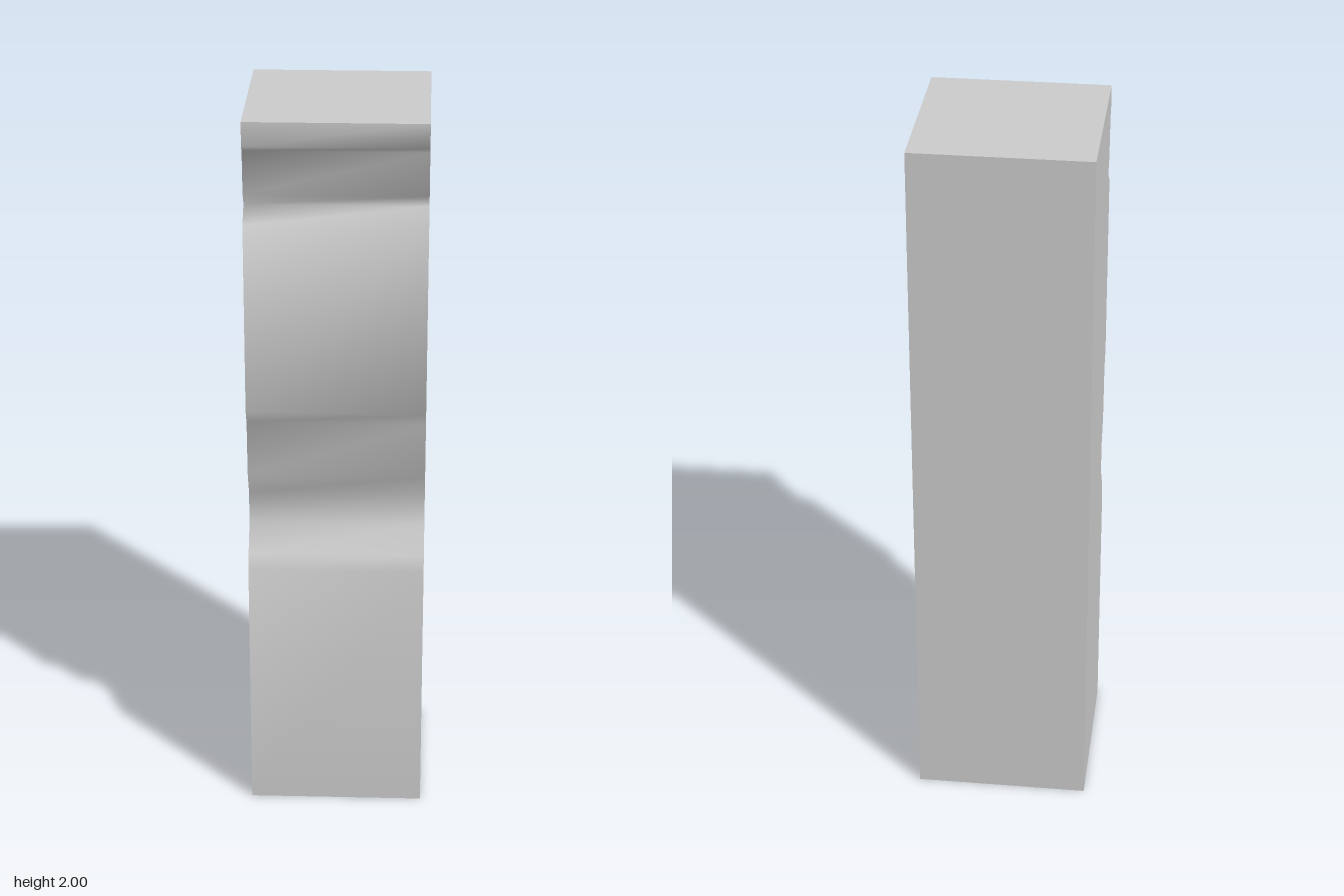
import * as THREE from 'three';
import { toCreasedNormals } from 'three/addons/utils/BufferGeometryUtils.js';

export function createModel() {
  const group = new THREE.Group();
  const half = 0.24;

  // Side profile as [z, y]: plain back, carved front running upwards
  const profile = [
    [-half, 0], [half, 0],
    [half, 0.73], [0.222, 0.77], [0.17, 0.84], [0.17, 0.93], // deep lower groove
    [0.205, 1.0], [0.215, 1.16], [half, 1.2],                // shallow step above it
    [half, 1.725], [0.19, 1.765], [0.215, 1.8],              // narrow upper notch
    [0.225, 1.92], [half, 1.935],                            // neck below the top lip
    [half, 2], [-half, 2],
  ];
  const shape = new THREE.Shape(profile.map(([z, y]) => new THREE.Vector2(z, y)));

  // Extrude across the width, then turn the profile to face +z
  const extruded = new THREE.ExtrudeGeometry(shape, { depth: 2 * half, bevelEnabled: false });
  extruded.translate(0, 0, -half);
  extruded.rotateY(-Math.PI / 2);

  // Smooth the carved front, keep the square corners sharp
  const geometry = toCreasedNormals(extruded, THREE.MathUtils.degToRad(89.5));
  const post = new THREE.Mesh(geometry, new THREE.MeshStandardMaterial({ color: 0xcccccc }));
  post.name = 'carvedPost';
  group.add(post);
  return group;
}
